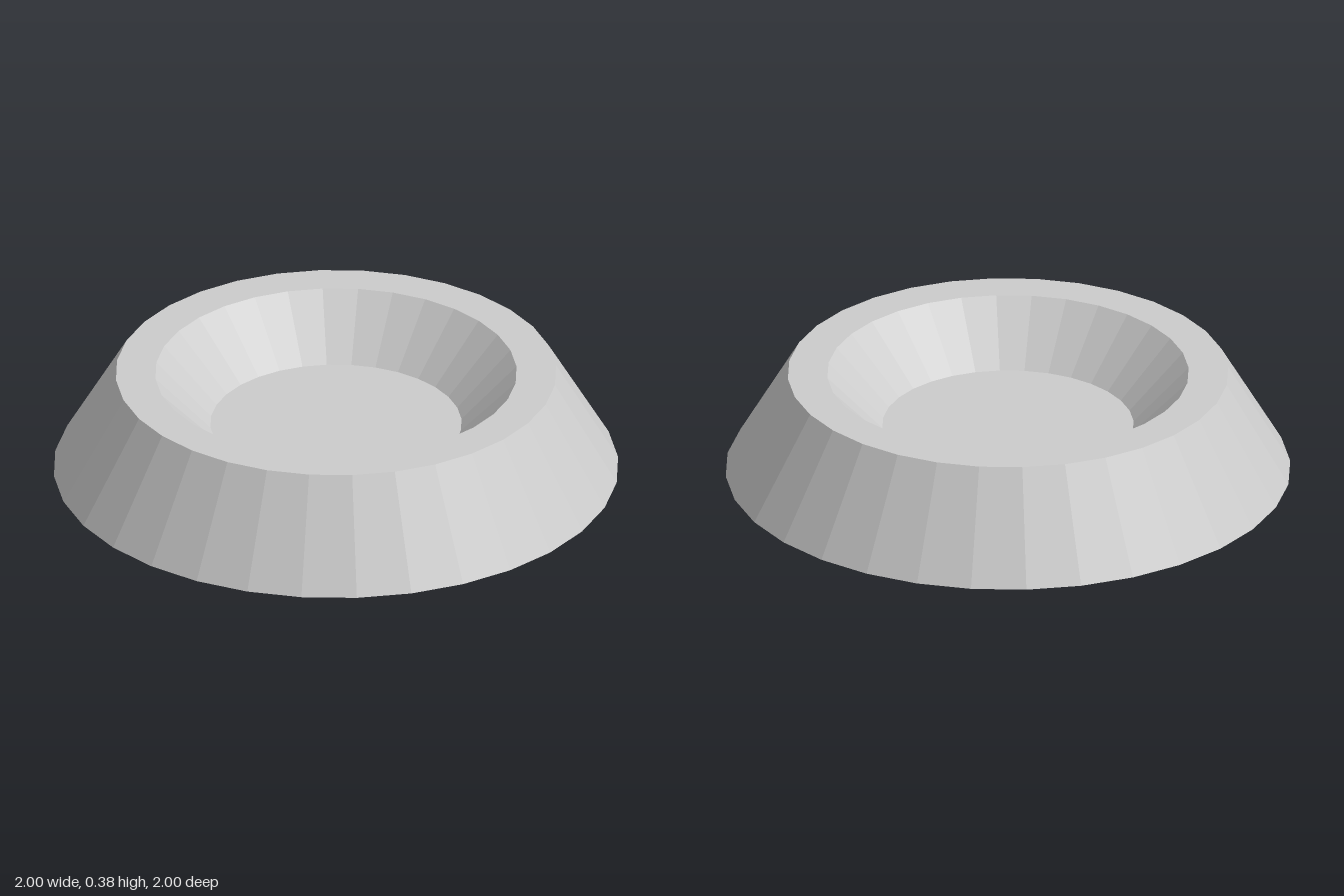
import * as THREE from 'three';

const SIDES = 32;
const BASE_RADIUS = 1, TOP_RADIUS = 0.78, MOUTH_RADIUS = 0.64, FLOOR_RADIUS = 0.445;
const HEIGHT = 0.375, FLOOR_HEIGHT = 0.173;

export function createModel() {
  const model = new THREE.Group();
  model.name = 'bowl';

  // Thin open shell, visible from underneath too
  const material = new THREE.MeshStandardMaterial({
    color: 0xcccccc, flatShading: true, side: THREE.DoubleSide,
  });

  function add(name, geometry) {
    const mesh = new THREE.Mesh(geometry, material);
    mesh.name = name;
    model.add(mesh);
    return mesh;
  }

  // Revolved band between two [radius, height] points
  const band = (from, to) => new THREE.LatheGeometry(
    [new THREE.Vector2(...from), new THREE.Vector2(...to)], SIDES);

  // Sloping skirt, flat rim and tapered well
  add('outerWall', band([BASE_RADIUS, 0], [TOP_RADIUS, HEIGHT]));
  add('rim', band([TOP_RADIUS, HEIGHT], [MOUTH_RADIUS, HEIGHT]));
  add('innerWall', band([MOUTH_RADIUS, HEIGHT], [FLOOR_RADIUS, FLOOR_HEIGHT]));

  // Flat floor of the well
  const floor = add('floor', new THREE.CircleGeometry(FLOOR_RADIUS, SIDES).rotateX(-Math.PI / 2));
  floor.position.y = FLOOR_HEIGHT;

  return model;
}
